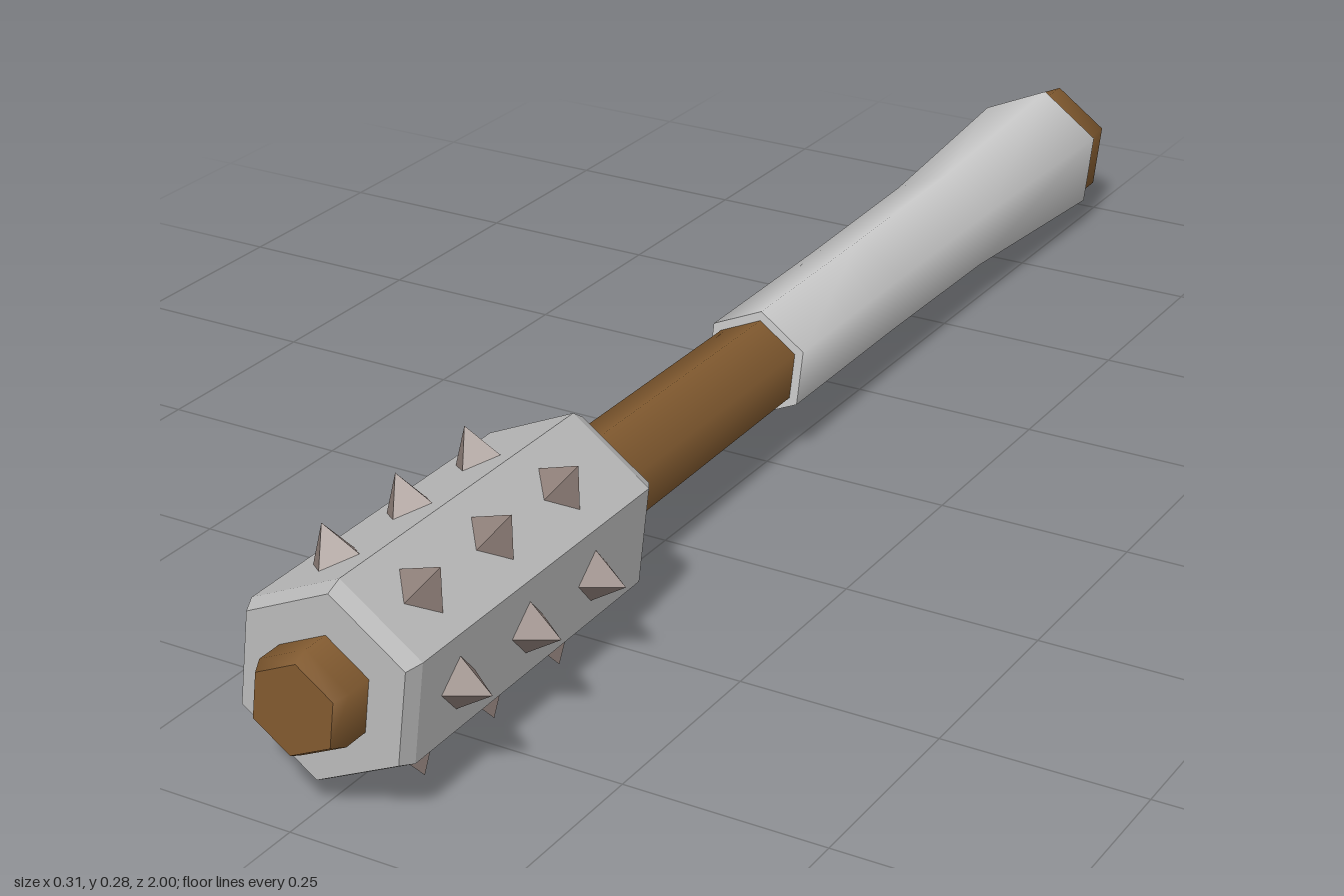
import * as THREE from 'three';
import { toCreasedNormals } from 'three/addons/utils/BufferGeometryUtils.js';

const SIDES = 6;
const TWIST = THREE.MathUtils.degToRad(-4);

// Six-sided turned part; profile is [radius, distance along the axis]
function hexLathe(profile, creaseDegrees) {
  const points = profile.map(([r, y]) => new THREE.Vector2(r, y));
  const geo = new THREE.LatheGeometry(points, SIDES, TWIST);
  return toCreasedNormals(geo, THREE.MathUtils.degToRad(creaseDegrees));
}

export function createModel() {
  const material = (name, color) => {
    const m = new THREE.MeshStandardMaterial({ color });
    m.name = name;
    return m;
  };
  const wood = material('brown wood', 0x80592f);
  const cloth = material('pale grip wrap', 0xcacaca);
  const steel = material('grey head', 0xb8b8b8);
  const iron = material('dark spikes', 0x8c7d77);

  const model = new THREE.Group();
  model.name = 'spikedMace';
  const mace = new THREE.Group();
  mace.name = 'maceBody';
  model.add(mace);

  const add = (name, geo, mat, parent = mace) => {
    const mesh = new THREE.Mesh(geo, mat);
    mesh.name = name;
    parent.add(mesh);
    return mesh;
  };

  // Wooden shaft with flared pommel and bevelled front tip
  add('shaft', hexLathe([
    [0, -0.997], [0.079, -0.997], [0.088, -0.985], [0.088, -0.93], [0.072, -0.85],
    [0.061, -0.1], [0.063, 0.43], [0.064, 0.98], [0.055, 0.998], [0, 0.998],
  ], 66), wood);

  // Wrapped grip, flaring towards the pommel
  add('gripWrap', hexLathe([
    [0.07, -0.925], [0.1, -0.925], [0.079, -0.58], [0.075, -0.3],
    [0.074, -0.02], [0.058, -0.02],
  ], 66), cloth);

  // Faceted head with bevelled rims
  add('head', hexLathe([
    [0.05, 0.432], [0.108, 0.432], [0.122, 0.455], [0.122, 0.925],
    [0.113, 0.945], [0.05, 0.945],
  ], 10), steel);

  // Three rings of four-sided spikes, one on each face of the head
  const spikes = new THREE.Group();
  spikes.name = 'spikes';
  mace.add(spikes);
  const spikeHeight = 0.044;
  const apothem = 0.122 * Math.cos(Math.PI / SIDES);
  const spikeGeo = toCreasedNormals(
    new THREE.ConeGeometry(0.034, spikeHeight, 4).translate(0, spikeHeight / 2 - 0.002, 0), 0.3);
  const up = new THREE.Vector3(0, 1, 0);
  for (let side = 0; side < SIDES; side++) {
    const angle = TWIST + (side + 0.5) * Math.PI * 2 / SIDES;
    const out = new THREE.Vector3(Math.sin(angle), 0, Math.cos(angle));
    const across = new THREE.Vector3().crossVectors(out, up);
    const basis = new THREE.Matrix4().makeBasis(across, out, up);
    for (const along of [0.57, 0.71, 0.85]) {
      const spike = add('spike', spikeGeo, iron, spikes);
      spike.quaternion.setFromRotationMatrix(basis);
      spike.position.copy(out).multiplyScalar(apothem).setY(along);
    }
  }

  // Lay the mace along z with its slight tilt
  const axis = new THREE.Vector3(0.04, 0.025, 1).normalize();
  mace.quaternion.setFromUnitVectors(up, axis);
  mace.position.set(-0.028, 0.124, 0);
  return model;
}
